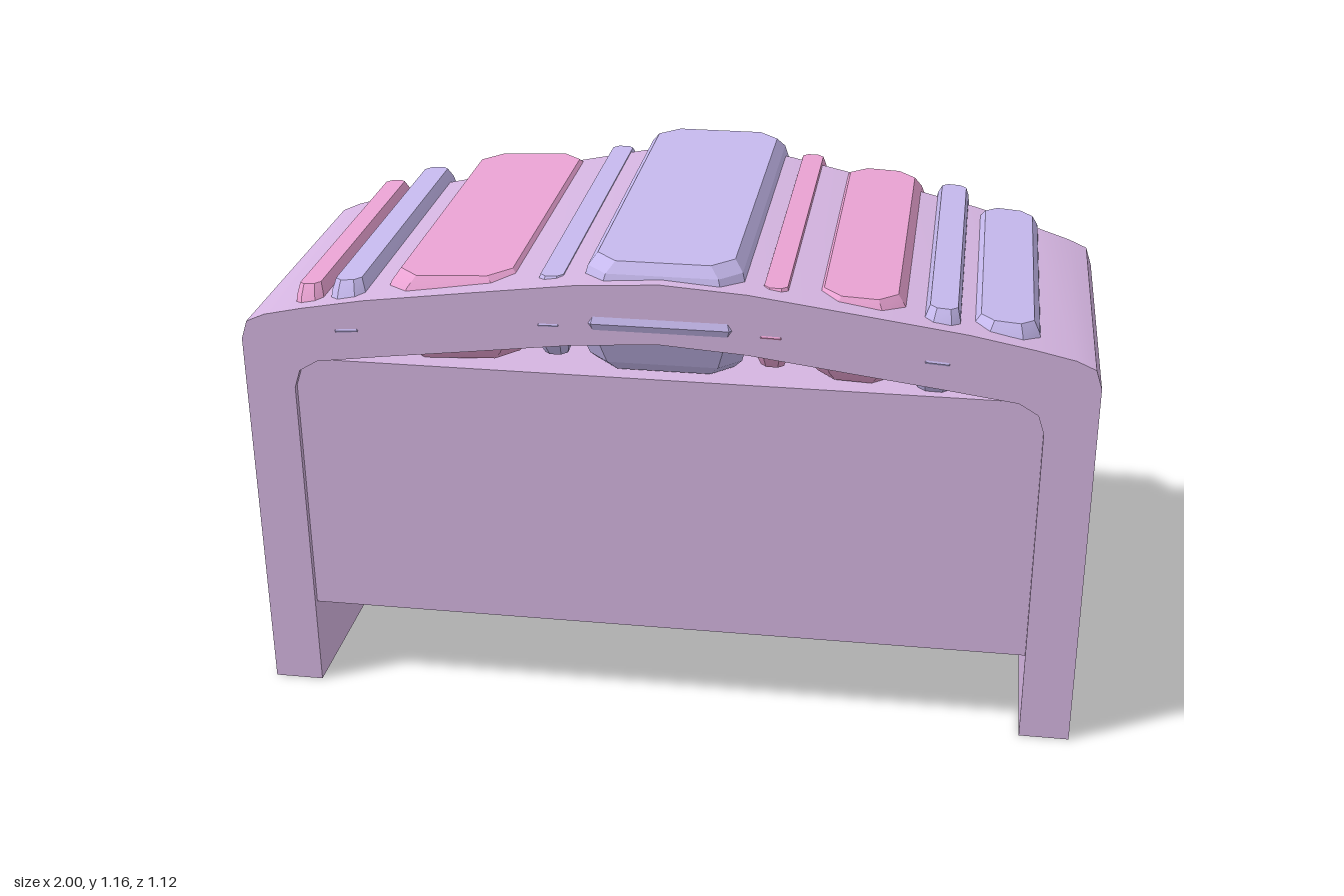
import * as THREE from 'three';
import { toCreasedNormals } from 'three/addons/utils/BufferGeometryUtils.js';

const material = (color) => new THREE.MeshStandardMaterial({ color });
const LILAC = material(0xd5b5e1);
const PINK = material(0xeaa3d3);
const VIOLET = material(0xc6b9ee);
const ROSE_CUSHION = material(0xdeb5bb);
const GREY_CUSHION = material(0xcbb9d3);

// Joins equal-sized rings of points into a closed skin, capped at both ends
function loft(rings, creaseAngle) {
  const n = rings[0].length, last = (rings.length - 1) * n, index = [];
  for (let r = 0; r < last; r += n) {
    for (let i = 0; i < n; i++) {
      const a = r + i, b = r + (i + 1) % n;
      index.push(a, b, b + n, a, b + n, a + n);
    }
  }
  for (let i = 1; i < n - 1; i++) index.push(0, i + 1, i, last, last + i, last + i + 1);
  const geometry = new THREE.BufferGeometry();
  geometry.setAttribute('position', new THREE.Float32BufferAttribute(rings.flat(2), 3));
  geometry.setIndex(index);
  return toCreasedNormals(geometry, creaseAngle);
}

// Arched shell: two legs and a bowed roof whose rear edge swells backward
function shellGeometry() {
  // outer x, outer y, inner x, inner y from foot to crown
  const half = [
    [1, 0, 0.88, 0], [1, 0.02, 0.88, 0.02], [1, 0.07, 0.88, 0.07], [1, 0.14, 0.88, 0.14],
    [1, 0.94, 0.88, 0.82], [0.985, 0.985, 0.865, 0.865], [0.94, 1.005, 0.82, 0.892],
    [0.85, 1.025, 0.76, 0.9], [0.7, 1.053, 0.65, 0.915], [0.45, 1.087, 0.45, 0.94], [0.2, 1.12, 0.2, 0.972],
  ];
  const footBack = [-0.09, -0.15, -0.2];
  const back = (x, i) => footBack[i] ?? -0.22 - 0.25 * Math.max(0, 1 - (x / 0.93) ** 1.3);
  const section = (side) => ([ox, oy, ix, iy], i) => [
    [side * ox, oy, 0.55], [side * ox, oy, back(ox, i)],
    [side * ix, iy, i < 5 ? back(ox, i) : back(ix, i)], [side * ix, iy, 0.55],
  ];
  const crown = [[0, 1.133, 0.55], [0, 1.133, -0.47], [0, 0.985, -0.47], [0, 0.985, 0.55]];
  return loft([...half.map(section(1)), crown, ...half.map(section(-1)).reverse()], 0.5);
}

// Long bar with cut corners, widest at mid height: a stack of inset octagons
function barGeometry(width, height, length) {
  const inset = Math.min(0.05, width * 0.2);
  const levels = [
    [-height / 2, inset, 0.06], [-height / 2 + 0.025, inset * 0.6, 0.04], [0, 0, 0],
    [height / 2 - 0.025, inset * 0.6, 0.04], [height / 2, inset, 0.06],
  ];
  return loft(levels.map(([y, dx, dz]) => {
    const w = width / 2 - dx, d = length / 2 - dz, c = Math.min(0.05, w * 0.5);
    return [[w, d - c], [w, c - d], [w - c, -d], [c - w, -d],
      [-w, c - d], [-w, d - c], [c - w, d], [w - c, d]].map(([x, z]) => [x, y, z]);
  }), 0.3);
}

// Padded block with bowed sides and bevelled faces
function cushionGeometry() {
  const outline = [[-0.2, -0.26], [0.2, -0.26], [0.22, -0.24], [0.245, 0.02], [0.22, 0.26],
    [-0.22, 0.26], [-0.245, 0.02], [-0.22, -0.24]].map(([x, y]) => new THREE.Vector2(x, y));
  return toCreasedNormals(new THREE.ExtrudeGeometry(new THREE.Shape(outline), {
    depth: 0.18, bevelSize: 0.045, bevelThickness: 0.045, bevelSegments: 2,
  }), 0.6);
}

export function createModel() {
  const model = new THREE.Group();
  const add = (name, geometry, mat, x = 0, y = 0, z = 0) => {
    const mesh = new THREE.Mesh(geometry, mat);
    mesh.name = name;
    mesh.position.set(x, y, z);
    model.add(mesh);
    return mesh;
  };

  add('archedShell', shellGeometry(), LILAC);

  // Deep front panel, slightly recessed between the legs
  add('frontPanel', new THREE.BoxGeometry(1.77, 0.67, 0.345), LILAC, 0, 0.555, 0.3625);

  // Padded cushions on the rear of the panel
  for (const i of [-1, 0, 1]) {
    add('rearCushion', cushionGeometry(), i ? ROSE_CUSHION : GREY_CUSHION, i * 0.59, 0.565, -0.01);
  }

  // Bars running through the roof: left x, right x, bottom, top, rear z, front z, material
  const bars = [
    [-0.88, -0.795, 0.85, 1.062, -0.325, 0.545, PINK],
    [-0.795, -0.69, 0.87, 1.08, -0.395, 0.552, VIOLET],
    [-0.68, -0.31, 0.893, 1.102, -0.48, 0.545, PINK],
    [-0.305, -0.215, 0.92, 1.117, -0.535, 0.552, VIOLET],
    [-0.21, 0.21, 0.895, 1.165, -0.56, 0.556, VIOLET],
    [0.21, 0.3, 0.92, 1.117, -0.535, 0.552, PINK],
    [0.31, 0.58, 0.893, 1.102, -0.48, 0.545, PINK],
    [0.58, 0.685, 0.87, 1.09, -0.42, 0.552, VIOLET],
    [0.675, 0.875, 0.845, 1.063, -0.325, 0.545, VIOLET],
  ];
  for (const [x0, x1, y0, y1, z0, z1, mat] of bars) {
    const x = (x0 + x1) / 2;
    const bar = add('roofBar', barGeometry(x1 - x0, y1 - y0, z1 - z0), mat, x, (y0 + y1) / 2, (z0 + z1) / 2);
    bar.rotation.z = -0.1 * x;
  }
  return model;
}
